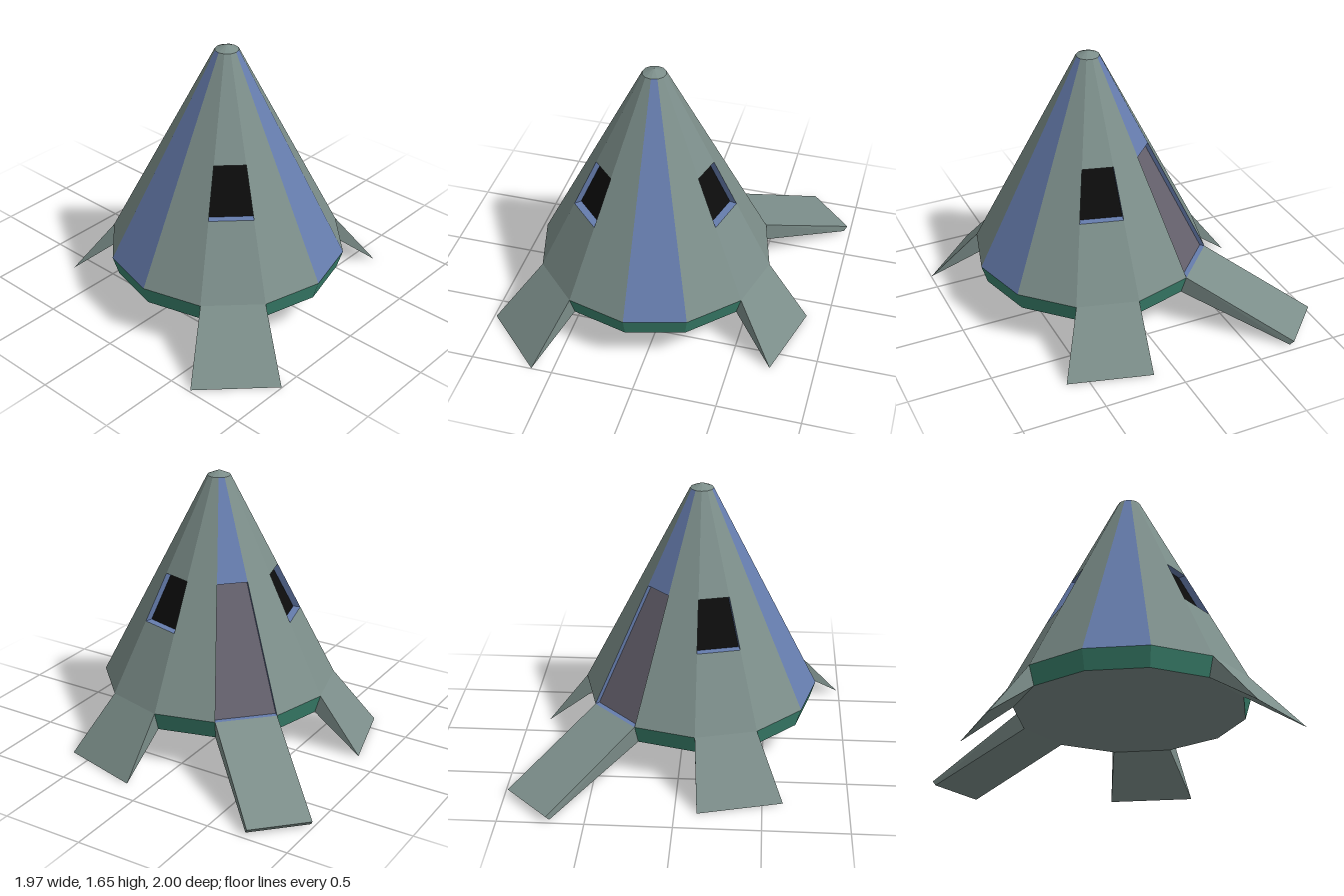
import * as THREE from 'three';
import { ConvexGeometry } from 'three/addons/geometries/ConvexGeometry.js';

const SIDES = 12, STEP = Math.PI * 2 / SIDES;
const EAVE_Y = 0.35, EAVE_R = 0.715;   // bottom edge of the cone
const TIP_Y = 1.62, TIP_R = 0.07;      // top edge, below the cap
const BASE_Y = 0.235, BASE_R = 0.68;   // underside
const SILL_Y = 0.78, HEAD_Y = 1.06;    // window opening

const paint = (color, side = THREE.FrontSide) =>
  new THREE.MeshStandardMaterial({ color, side, flatShading: true });
const hull = paint(0x7c8e8a), blue = paint(0x667dae), green = paint(0x3c8570);
const trim = paint(0x667dae, THREE.DoubleSide), glass = paint(0x0c0c0c), doorGrey = paint(0x65616d);

const coneRadius = y => THREE.MathUtils.mapLinear(y, EAVE_Y, TIP_Y, EAVE_R, TIP_R);
const onCone = (k, y) => {
  const r = coneRadius(y);
  return new THREE.Vector3(r * Math.cos(k * STEP), y, r * Math.sin(k * STEP));
};
// Corners of one cone facet between two heights, counter-clockwise from outside
const facet = (k, y0, y1) => [onCone(k + 1, y0), onCone(k, y0), onCone(k, y1), onCone(k + 1, y1)];

function quadMesh(name, quads, material) {
  const points = quads.flatMap(([a, b, c, d]) => [a, b, c, a, c, d]);
  const geometry = new THREE.BufferGeometry().setFromPoints(points);
  geometry.computeVertexNormals();
  return named(name, geometry, material);
}

function named(name, geometry, material) {
  const mesh = new THREE.Mesh(geometry, material);
  mesh.name = name;
  return mesh;
}

// Opening set back into facet k, with trim around a recessed panel
function recess(name, k, y0, y1, depth, panelMaterial) {
  const a = (k + 0.5) * STEP;
  const inward = new THREE.Vector3(-Math.cos(a), 0, -Math.sin(a)).multiplyScalar(depth);
  const outer = facet(k, y0, y1);
  const inner = outer.map(p => p.clone().add(inward));
  const walls = outer.map((p, i) => {
    const j = (i + 1) % 4;
    return [p, outer[j], inner[j], inner[i]];
  });
  const group = new THREE.Group();
  group.name = name;
  group.add(quadMesh(name + 'Frame', walls, trim), quadMesh(name + 'Panel', [inner], panelMaterial));
  return group;
}

// Solid growing out of facet k; toe is a list of [radius, y] edges
function outrigger(name, k, toe, halfWidth, shift = 0) {
  const a = (k + 0.5) * STEP, cos = Math.cos(a), sin = Math.sin(a);
  const points = [];
  const edge = (r, y, half, offset) => {
    for (const s of [-1, 1]) {
      const t = s * half + offset;
      points.push(new THREE.Vector3(r * cos - t * sin, y, r * sin + t * cos));
    }
  };
  for (const [r, y] of [[EAVE_R, EAVE_Y], [BASE_R, BASE_Y]])
    edge(r * Math.cos(STEP / 2), y, r * Math.sin(STEP / 2), 0);
  for (const [r, y] of toe) edge(r, y, halfWidth, shift);
  return named(name, new ConvexGeometry(points), hull);
}

export function createModel() {
  const model = new THREE.Group();
  model.name = 'conicalTower';
  const windows = [0, 4, 8], doorFacet = 10, blueFacets = [2, 6, 10];

  // Cone walls, left open at the windows and the door
  const plain = [], coloured = [];
  for (let k = 0; k < SIDES; k++) {
    const target = blueFacets.includes(k) ? coloured : plain;
    if (windows.includes(k)) target.push(facet(k, EAVE_Y, SILL_Y), facet(k, HEAD_Y, TIP_Y));
    else if (k === doorFacet) target.push(facet(k, HEAD_Y, TIP_Y));
    else target.push(facet(k, EAVE_Y, TIP_Y));
  }
  model.add(quadMesh('wall', plain, hull), quadMesh('blueStripes', coloured, blue));

  // Openings
  for (const k of windows) model.add(recess('window', k, SILL_Y, HEAD_Y, 0.045, glass));
  model.add(recess('door', doorFacet, EAVE_Y, HEAD_Y, 0.03, doorGrey));

  // Cap, skirt and underside
  const cap = named('cap', new THREE.ConeGeometry(TIP_R, 0.03, SIDES, 1, true), hull);
  cap.position.y = TIP_Y + 0.015;
  const skirt = named('skirt',
    new THREE.CylinderGeometry(EAVE_R, BASE_R, EAVE_Y - BASE_Y, SIDES, 1, true), green);
  skirt.position.y = (EAVE_Y + BASE_Y) / 2;
  const floor = named('underside', new THREE.CircleGeometry(BASE_R, SIDES), hull);
  floor.rotation.x = Math.PI / 2;
  floor.position.y = BASE_Y;
  model.add(cap, skirt, floor);

  // Three flared legs and the entrance ramp
  model.add(
    outrigger('frontLeg', 4, [[0.997, 0]], 0.255),
    outrigger('leftLeg', 0, [[0.945, 0.003]], 0.255, 0.028),
    outrigger('backLeg', 8, [[0.945, 0.003]], 0.255, -0.028),
    outrigger('ramp', doorFacet, [[1.365, 0.04], [1.34, 0.01]], 0.185, -0.02));

  // The cone stands off centre so the whole footprint is centred
  for (const part of model.children) {
    part.position.x -= 0.103;
    part.position.z += 0.111;
  }
  return model;
}
